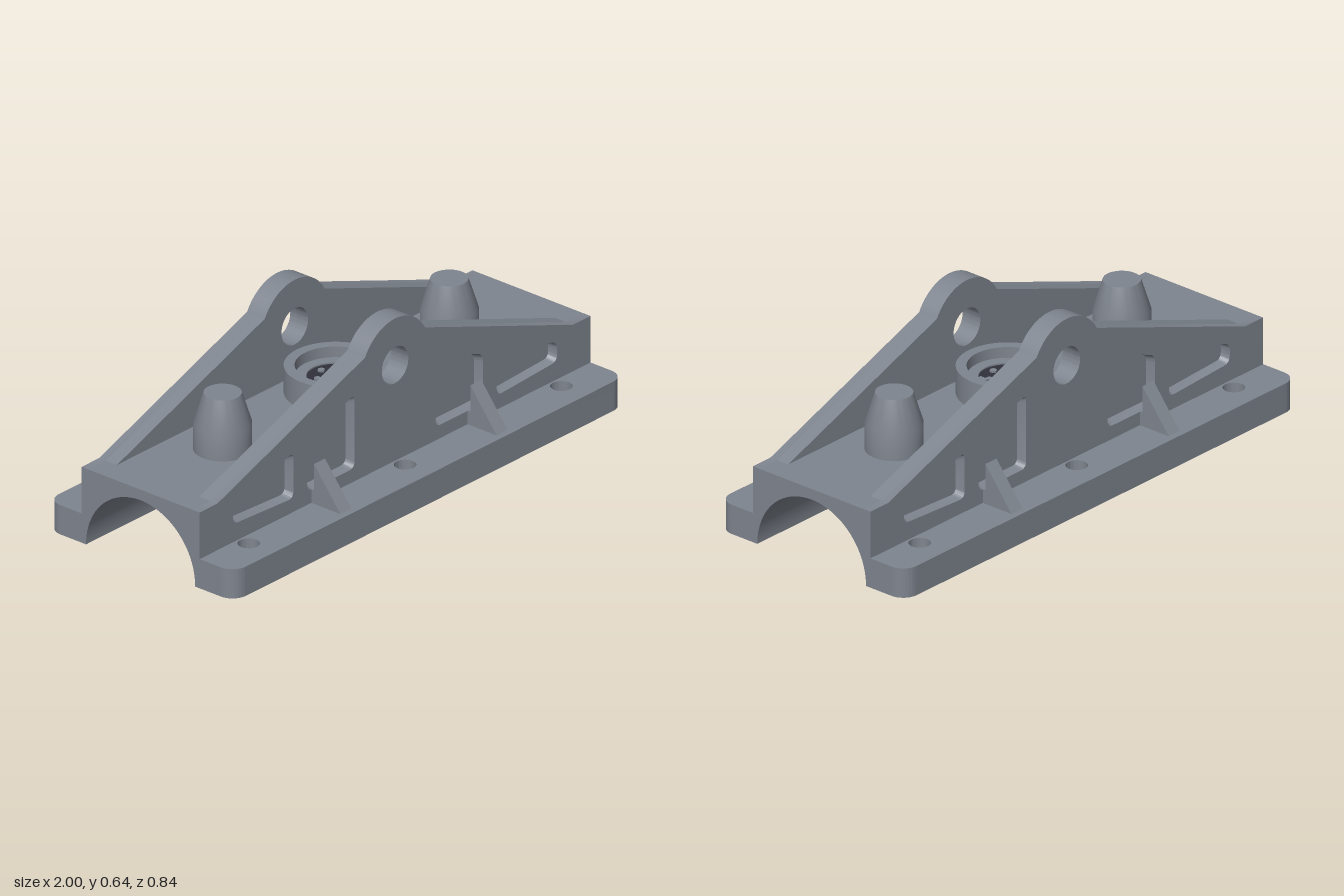
import * as THREE from 'three';
import { toCreasedNormals } from 'three/addons/utils/BufferGeometryUtils.js';

const steel = new THREE.MeshStandardMaterial({ color: 0x7f858f, side: THREE.DoubleSide });
steel.name = 'steel grey';
const dark = new THREE.MeshStandardMaterial({ color: 0x30313a });
dark.name = 'dark insert';

const V = (x, y) => new THREE.Vector2(x, y);

function part(name, geometry, material = steel) {
  const mesh = new THREE.Mesh(toCreasedNormals(geometry, 0.5), material);
  mesh.name = name;
  return mesh;
}

function extrude(shape, depth) {
  return new THREE.ExtrudeGeometry(shape, { depth, bevelEnabled: false, curveSegments: 32 });
}

function circle(x, y, r) {
  return new THREE.Path().absarc(x, y, r, 0, Math.PI * 2, true);
}

// Closed outline with softened corners
function roundedPolygon(points, r) {
  const shape = new THREE.Shape();
  points.forEach((p, i) => {
    const before = points[(i + points.length - 1) % points.length];
    const after = points[(i + 1) % points.length];
    const a = p.clone().add(before.clone().sub(p).setLength(r));
    const b = p.clone().add(after.clone().sub(p).setLength(r));
    if (i) shape.lineTo(a.x, a.y);
    else shape.moveTo(a.x, a.y);
    shape.quadraticCurveTo(p.x, p.y, b.x, b.y);
  });
  shape.closePath();
  return shape;
}

// Cheek outline above a given floor, crowned by a round lug
function cheekShape(floorPoints) {
  const a = Math.asin(0.085 / 0.175);
  const shape = new THREE.Shape();
  shape.setFromPoints(floorPoints);
  shape.lineTo(0.91, 0.285);
  shape.absarc(0, 0.47, 0.175, a, Math.PI - a, false);
  shape.lineTo(-0.91, 0.285);
  shape.closePath();
  shape.holes.push(circle(0, 0.47, 0.068));
  return shape;
}

// Drafted pocket wall between the outer rim and the smaller floor outline
function pocketWall(outline, zFront, zBack, inset) {
  const pts = outline.getPoints(8);
  const box = new THREE.Box2().setFromPoints(pts);
  const c = box.getCenter(V(0, 0)), s = box.getSize(V(0, 0));
  const inner = pts.map((p) => V(
    c.x + (p.x - c.x) * (1 - 2 * inset / s.x),
    c.y + (p.y - c.y) * (1 - 2 * inset / s.y)));
  const pos = [];
  for (let i = 0; i < pts.length - 1; i++) {
    const a = [pts[i].x, pts[i].y, zFront], b = [pts[i + 1].x, pts[i + 1].y, zFront];
    const d = [inner[i].x, inner[i].y, zBack], e = [inner[i + 1].x, inner[i + 1].y, zBack];
    if (THREE.ShapeUtils.isClockWise(pts)) pos.push(...a, ...d, ...b, ...b, ...d, ...e);
    else pos.push(...a, ...b, ...d, ...b, ...e, ...d);
  }
  const g = new THREE.BufferGeometry();
  g.setAttribute('position', new THREE.Float32BufferAttribute(pos, 3));
  g.computeVertexNormals();
  return g;
}

function createSide() {
  const side = new THREE.Group();

  // Bolted flange
  const flange = new THREE.Shape();
  flange.moveTo(1, -0.265);
  flange.lineTo(-1, -0.265);
  flange.lineTo(-1, -0.36);
  flange.absarc(-0.94, -0.36, 0.06, Math.PI, Math.PI * 1.5, false);
  flange.absarc(0.94, -0.36, 0.06, Math.PI * 1.5, Math.PI * 2, false);
  flange.closePath();
  for (const x of [-0.8, 0, 0.8]) flange.holes.push(circle(x, -0.31, 0.038));
  side.add(part('flange', extrude(flange, 0.11).rotateX(-Math.PI / 2)));

  // Inner layer of the cheek
  const inner = cheekShape([V(-0.91, 0.285), V(0.91, 0.285)]);
  side.add(part('cheekInner', extrude(inner, 0.05).translate(0, 0, 0.185)));

  // Outer layer with four pockets
  const outer = cheekShape([V(-1, 0.285), V(-1, 0.11), V(1, 0.11), V(1, 0.285)]);
  const pockets = [
    [V(-0.83, 0.178), V(-0.52, 0.162), V(-0.52, 0.335), V(-0.83, 0.25)],
    [V(-0.45, 0.16), V(-0.207, 0.16), V(-0.207, 0.437), V(-0.45, 0.345)],
  ];
  for (const m of [1, -1]) {
    for (const p of pockets) {
      const outline = roundedPolygon(p.map((q) => V(q.x * m, q.y)), 0.028);
      outer.holes.push(outline);
      side.add(part('pocketWall', pocketWall(outline, 0.265, 0.235, 0.012)));
    }
  }
  side.add(part('cheekOuter', extrude(outer, 0.03).translate(0, 0, 0.235)));

  // Triangular gussets with a relief slot against the wall
  const gusset = new THREE.Shape([
    V(0.265, 0.11), V(0.395, 0.11), V(0.277, 0.26), V(0.277, 0.162), V(0.265, 0.162)]);
  for (const x of [-0.4, 0.4]) {
    const g = extrude(gusset, 0.056).translate(0, 0, -0.028).rotateY(-Math.PI / 2);
    side.add(part('gusset', g.translate(x, 0, 0)));
  }
  return side;
}

export function createModel() {
  const model = new THREE.Group();
  model.name = 'pivotBracket';

  // Saddle block with a half-round tunnel along its length
  const saddle = new THREE.Shape();
  saddle.setFromPoints([
    V(0.245, 0), V(0.265, 0), V(0.265, 0.11), V(0.235, 0.11), V(0.235, 0.285),
    V(-0.235, 0.285), V(-0.235, 0.11), V(-0.265, 0.11), V(-0.265, 0), V(-0.245, 0)]);
  saddle.absarc(0, 0, 0.245, Math.PI, 0, true);
  model.add(part('saddleBlock', extrude(saddle, 2).translate(0, 0, -1).rotateY(Math.PI / 2)));

  // Matching front and back sides
  for (const name of ['frontSide', 'backSide']) {
    const side = createSide();
    side.name = name;
    if (name === 'backSide') side.rotation.y = Math.PI;
    model.add(side);
  }

  // Tapered posts
  const post = [V(0.1, 0.285), V(0.1, 0.385), V(0.065, 0.497), V(0, 0.497)];
  for (const x of [-0.58, 0.58]) {
    model.add(part('post', new THREE.LatheGeometry(post, 48).translate(x, 0, 0)));
  }

  // Central socket ring, stepped inside, with a locating key
  const ring = [V(0.177, 0.285), V(0.177, 0.385), V(0.14, 0.385), V(0.14, 0.345), V(0.1, 0.345), V(0.1, 0.285)];
  model.add(part('socketRing', new THREE.LatheGeometry(ring, 64)));
  model.add(part('socketKey', new THREE.BoxGeometry(0.022, 0.04, 0.035).translate(0.131, 0.363, 0)));

  // Dark insert with contact pins
  model.add(part('socketInsert', new THREE.CylinderGeometry(0.1, 0.1, 0.05, 48).translate(0, 0.315, 0), dark));
  for (let i = 0; i < 6; i++) {
    const a = Math.PI / 6 + i * Math.PI / 3;
    const pin = new THREE.CylinderGeometry(0.013, 0.013, 0.008, 6);
    model.add(part('contactPin', pin.translate(0.066 * Math.cos(a), 0.343, 0.066 * Math.sin(a))));
  }
  model.add(part('centrePin', new THREE.BoxGeometry(0.026, 0.008, 0.026).translate(0, 0.343, 0)));

  return model;
}
